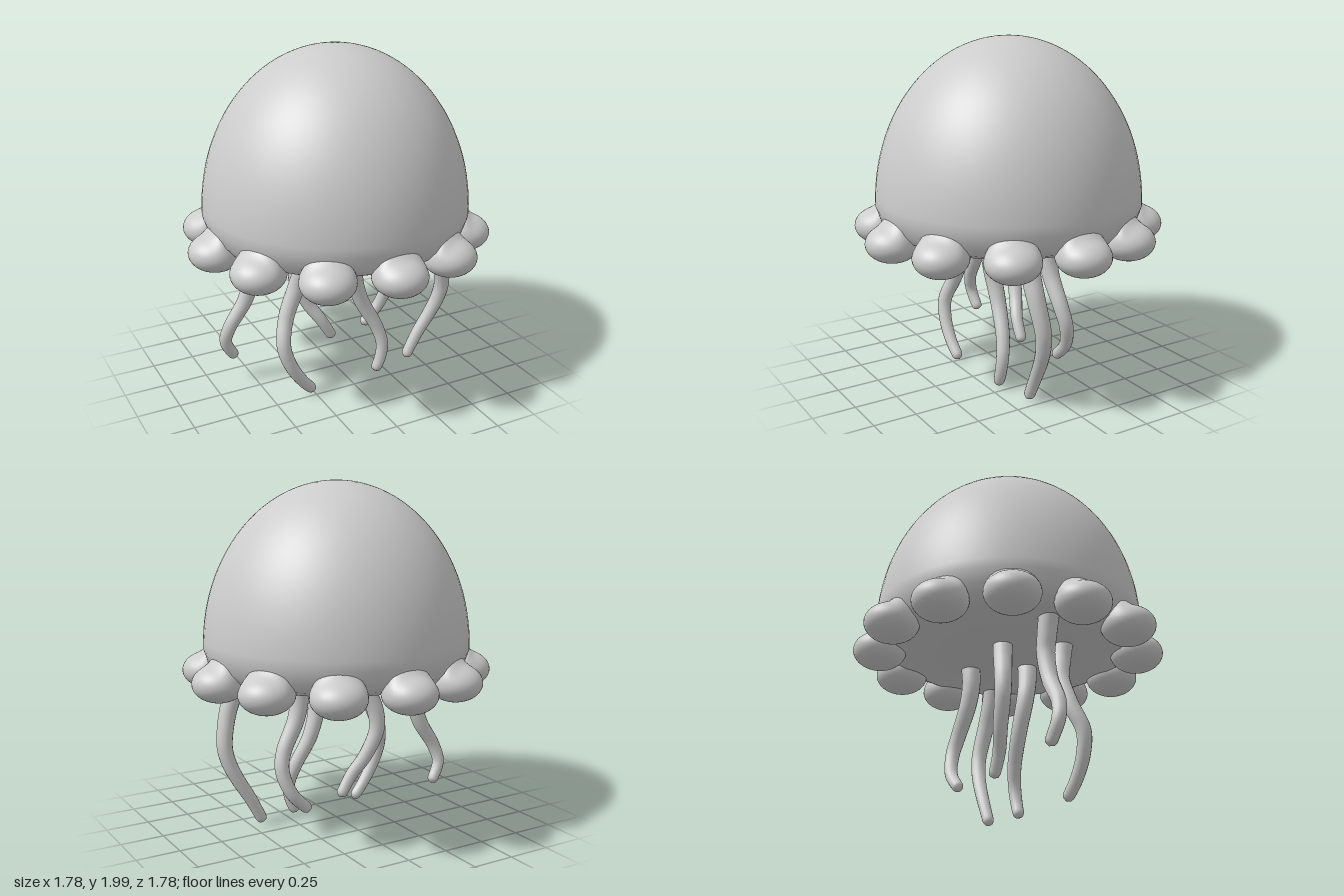
import * as THREE from 'three';
import { mergeVertices } from 'three/addons/utils/BufferGeometryUtils.js';

const skin = new THREE.MeshStandardMaterial({ color: 0xcccccc });
skin.name = 'pale grey skin';

function part(name, geometry) {
  const mesh = new THREE.Mesh(geometry, skin);
  mesh.name = name;
  return mesh;
}

// Weld seams so the shading is smooth all round
function smooth(geometry) {
  geometry.deleteAttribute('uv');
  geometry.deleteAttribute('normal');
  const welded = mergeVertices(geometry, 1e-4);
  welded.computeVertexNormals();
  return welded;
}

// Half-ellipse dome closed by a rounded rim and a flat underside
function bellGeometry() {
  const profile = [[0, 0.895], [0.3, 0.895], [0.56, 0.895], [0.64, 0.905], [0.7, 0.935], [0.74, 0.985]]
    .map(([x, y]) => new THREE.Vector2(x, y));
  for (let i = 0; i <= 28; i++) {
    const a = (i / 28) * Math.PI / 2;
    profile.push(new THREE.Vector2(Math.max(0, 0.765 * Math.cos(a)), 1.06 + 0.94 * Math.sin(a)));
  }
  return smooth(new THREE.LatheGeometry(profile, 72));
}

// Flattened bead whose top flares up where it meets the bell wall
function beadGeometry() {
  const g = new THREE.SphereGeometry(1, 36, 28);
  g.scale(0.152, 0.106, 0.152);
  const p = g.attributes.position;
  for (let i = 0; i < p.count; i++) {
    const y = p.getY(i), w = p.getZ(i) + 0.01;
    if (y > 0) p.setY(i, y * (1 + 0.42 * Math.exp(-w * w / 0.0016)));
  }
  return smooth(g);
}

// Tapering tube along a path, with a rounded tip
function tentacleGeometry(points) {
  const path = new THREE.CatmullRomCurve3(points.map((q) => new THREE.Vector3(...q)));
  const steps = 70, sides = 16;
  const g = new THREE.TubeGeometry(path, steps, 1, sides, false);
  const p = g.attributes.position, v = new THREE.Vector3();
  for (let i = 0; i <= steps; i++) {
    const t = i / steps, c = path.getPointAt(t);
    const tip = Math.max(0, (t - 0.96) / 0.04);
    const r = (0.057 - 0.025 * t) * Math.sqrt(Math.max(0, 1 - tip * tip));
    for (let j = 0; j <= sides; j++) {
      const k = i * (sides + 1) + j;
      v.fromBufferAttribute(p, k).sub(c).multiplyScalar(r).add(c);
      p.setXYZ(k, v.x, v.y, v.z);
    }
  }
  return smooth(g);
}

// Centre lines, from the underside down to the tip
const tentaclePaths = [
  [[-0.54, 0.92, -0.08], [-0.515, 0.8, -0.08], [-0.502, 0.7, -0.08], [-0.54, 0.55, -0.085], [-0.64, 0.38, -0.1], [-0.662, 0.28, -0.12], [-0.6, 0.155, -0.136]],
  [[-0.28, 0.92, 0.19], [-0.285, 0.8, 0.17], [-0.315, 0.68, 0.14], [-0.39, 0.5, 0.15], [-0.43, 0.35, 0.2], [-0.4, 0.23, 0.215], [-0.33, 0.11, 0.215], [-0.245, 0.013, 0.205]],
  [[-0.1, 0.92, -0.1], [-0.135, 0.8, -0.12], [-0.18, 0.67, -0.145], [-0.185, 0.56, -0.15], [-0.12, 0.4, -0.125], [-0.05, 0.29, -0.09], [0.025, 0.16, -0.08]],
  [[0.1, 0.92, 0.19], [0.067, 0.8, 0.17], [0.053, 0.67, 0.145], [0.1, 0.5, 0.135], [0.195, 0.31, 0.16], [0.225, 0.2, 0.18], [0.215, 0.11, 0.185], [0.178, 0.013, 0.18]],
  [[0.3, 0.92, -0.08], [0.29, 0.8, -0.08], [0.315, 0.68, -0.085], [0.405, 0.5, -0.1], [0.425, 0.4, -0.12], [0.38, 0.265, -0.15], [0.27, 0.15, -0.155]],
  [[0.53, 0.92, 0.21], [0.563, 0.8, 0.21], [0.605, 0.68, 0.205], [0.638, 0.5, 0.18], [0.62, 0.4, 0.165], [0.575, 0.3, 0.15], [0.5, 0.17, 0.135], [0.422, 0.018, 0.13]],
];

export function createModel() {
  const model = new THREE.Group();
  model.name = 'jellyfish';
  model.add(part('bell', bellGeometry()));

  // Twelve beads around the rim
  const beads = new THREE.Group();
  beads.name = 'rimBeads';
  const bead = beadGeometry();
  for (let i = 0; i < 12; i++) {
    const a = (i / 12) * Math.PI * 2;
    const mesh = part('rimBead', bead);
    mesh.position.set(Math.sin(a) * 0.74, 0.918, Math.cos(a) * 0.74);
    mesh.rotation.y = a;
    beads.add(mesh);
  }
  model.add(beads);

  // Hanging tentacles in two rows
  const tentacles = new THREE.Group();
  tentacles.name = 'tentacles';
  for (const path of tentaclePaths) tentacles.add(part('tentacle', tentacleGeometry(path)));
  model.add(tentacles);
  return model;
}
